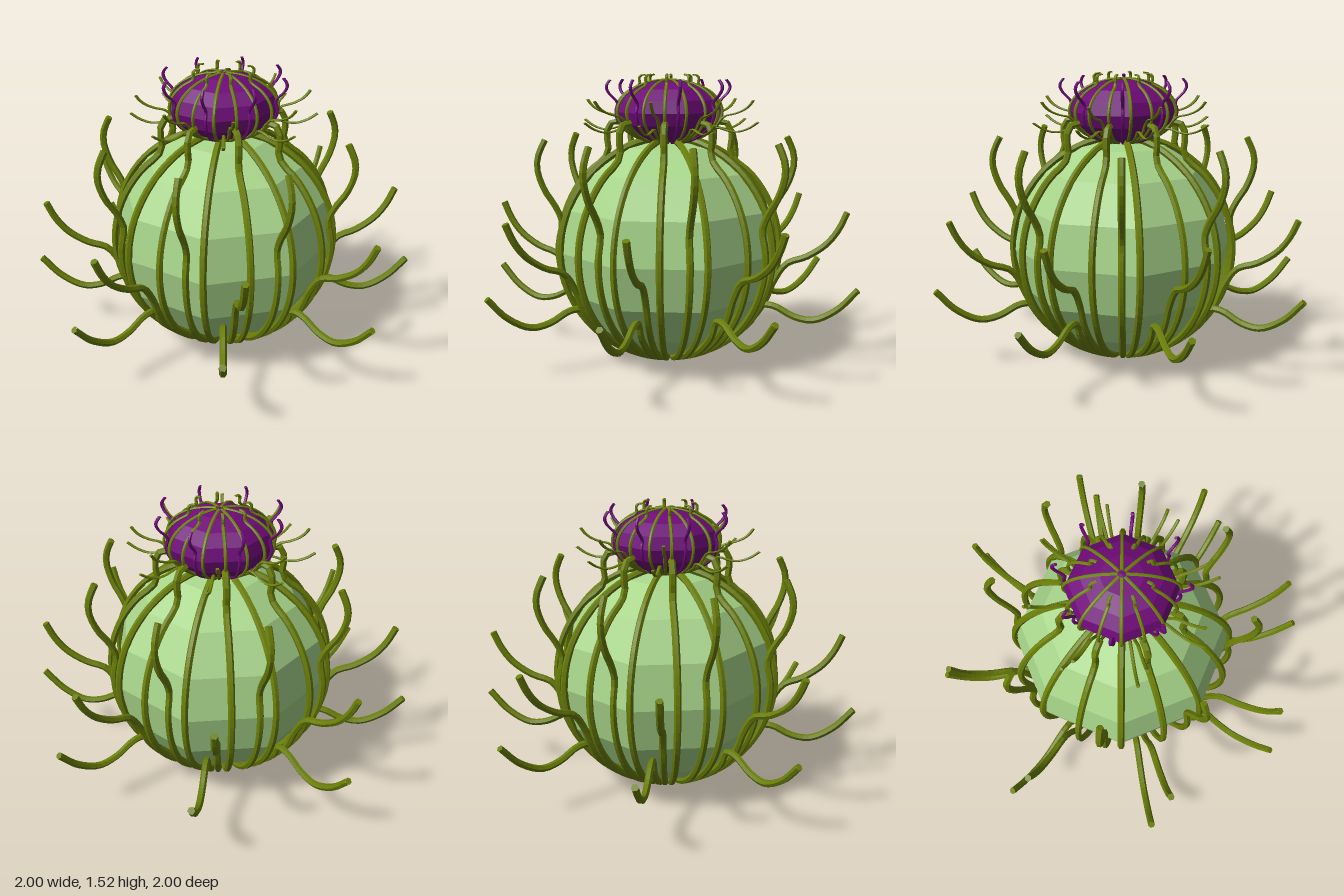
import * as THREE from 'three';
import { mergeGeometries } from 'three/addons/utils/BufferGeometryUtils.js';

const R = 0.58;      // bulb radius
const HUG = 0.588;   // radius at which ribs follow the bulb
const CY = 0.605;    // bulb centre height

// Each tendril kind: turn in degrees, sweep along the bulb from the bottom pole, then free points [radius, y]
const KINDS = [
  { name: 'rib', turn: 0, sweep: 176, free: [] },
  { name: 'hookedTendril', turn: 22.5, sweep: 145, free: [[0.32, 1.14], [0.33, 1.21], [0.3, 1.27], [0.26, 1.275]] },
  { name: 'upperTendril', turn: 8.5, sweep: 105, free: [[0.6, 0.84], [0.655, 0.93], [0.688, 1.04], [0.68, 1.11], [0.645, 1.185]] },
  { name: 'middleTendril', turn: -15.5, sweep: 74, free: [[0.63, 0.54], [0.73, 0.58], [0.83, 0.65], [0.89, 0.73], [0.93, 0.82]] },
  { name: 'lowerTendril', turn: -9.5, sweep: 52, free: [[0.5, 0.32], [0.57, 0.325], [0.68, 0.275], [0.78, 0.265], [0.9, 0.33], [1.0, 0.44]] },
];

// Tube in the x-y plane, closed by a flat disc at the tip
function tendrilGeometry({ sweep, free }) {
  const points = [];
  const n = Math.ceil(sweep / 13);
  for (let i = 0; i <= n; i++) {
    const a = THREE.MathUtils.degToRad(4 + (sweep - 4) * i / n);
    points.push(new THREE.Vector3(HUG * Math.sin(a), CY - HUG * Math.cos(a), 0));
  }
  free.forEach(([r, y]) => points.push(new THREE.Vector3(r, y, 0)));
  const curve = new THREE.CatmullRomCurve3(points);
  const tube = new THREE.TubeGeometry(curve, 36, 0.018, 6);
  const cap = new THREE.CircleGeometry(0.018, 6);
  const turn = new THREE.Quaternion().setFromUnitVectors(new THREE.Vector3(0, 0, 1), curve.getTangent(1));
  const tip = curve.getPoint(1);
  cap.applyQuaternion(turn).translate(tip.x, tip.y, tip.z);
  return mergeGeometries([tube, cap]);
}

// Faceted bulb with eight of every tendril kind around it
function bulbWithTendrils(name, bulbMaterial, tendrilMaterial, upperMaterial) {
  const group = new THREE.Group();
  group.name = name;
  const bulb = new THREE.Mesh(new THREE.SphereGeometry(R, 8, 8), bulbMaterial);
  bulb.name = name + 'Bulb';
  bulb.position.y = CY;
  group.add(bulb);
  for (const kind of KINDS) {
    const geometry = tendrilGeometry(kind);
    const material = kind.name === 'upperTendril' ? upperMaterial : tendrilMaterial;
    for (let i = 0; i < 8; i++) {
      const tendril = new THREE.Mesh(geometry, material);
      tendril.name = kind.name;
      tendril.rotation.y = -THREE.MathUtils.degToRad(kind.turn + 45 * i);
      group.add(tendril);
    }
  }
  return group;
}

export function createModel() {
  const material = (name, color) => {
    const m = new THREE.MeshStandardMaterial({ color, flatShading: true });
    m.name = name;
    return m;
  };
  const green = material('paleGreen', 0xa8d58b);
  const olive = material('olive', 0x6b7f08);
  const purple = material('purple', 0x700a7a);

  const model = new THREE.Group();
  model.name = 'thistlePlant';
  model.add(bulbWithTendrils('body', green, olive, olive));

  // The flower repeats the body, smaller and flattened
  const flower = bulbWithTendrils('flower', purple, olive, purple);
  flower.scale.set(0.474, 0.285, 0.474);
  flower.position.y = 1.152;
  model.add(flower);
  return model;
}
